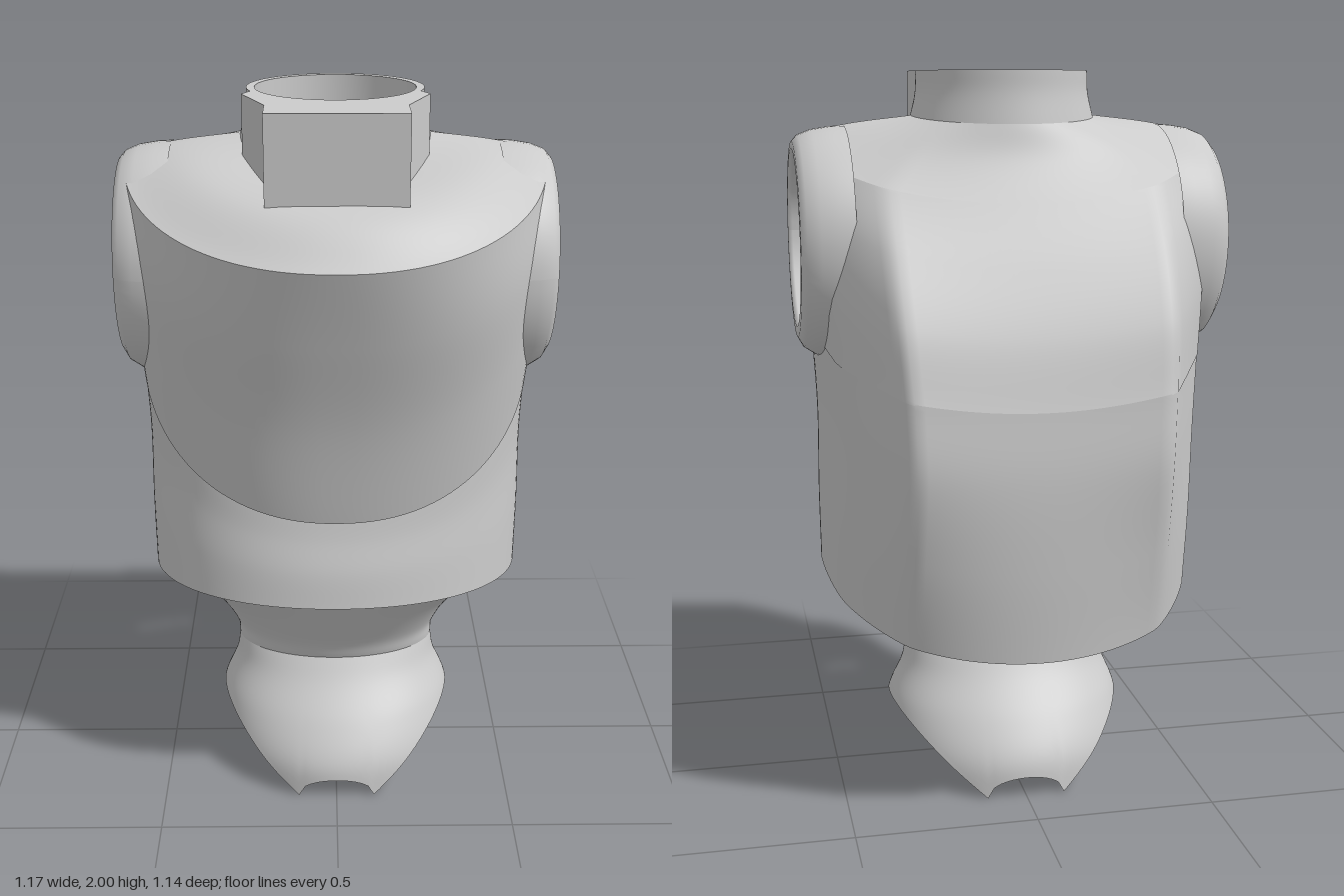
import * as THREE from 'three';

const material = new THREE.MeshStandardMaterial({ color: 0xcccccc, side: THREE.DoubleSide });
const SEG = 120;
const ARM = { y: 1.55, r: 0.265 };

// Builds a closed-round surface from point(row 0..1, angle), leaving out the arm openings
function roundSurface(name, rows, point) {
  const pos = [], idx = [], cut = [];
  for (let i = 0; i <= rows; i++) for (let j = 0; j < SEG; j++) {
    const p = point(i / rows, (j / SEG) * Math.PI * 2);
    const d = Math.hypot(p.z, p.y - ARM.y), inArm = Math.abs(p.x) > 0.3 && d < ARM.r;
    // Vertices inside an opening slide out to its rim
    if (inArm) {
      const k = ARM.r / Math.max(d, 1e-4);
      p.z *= k;
      p.y = ARM.y + (p.y - ARM.y) * k;
    }
    cut.push(inArm);
    pos.push(p.x, p.y, p.z);
  }
  const face = (a, b, c) => { if (!(cut[a] && cut[b] && cut[c])) idx.push(a, b, c); };
  for (let i = 0; i < rows; i++) for (let j = 0; j < SEG; j++) {
    const a = i * SEG + j, b = i * SEG + (j + 1) % SEG;
    face(a, b, a + SEG);
    face(b, b + SEG, a + SEG);
  }
  const g = new THREE.BufferGeometry();
  g.setAttribute('position', new THREE.Float32BufferAttribute(pos, 3));
  g.setIndex(idx);
  g.computeVertexNormals();
  return named(new THREE.Mesh(g, material), name);
}

function named(mesh, name) {
  mesh.name = name;
  return mesh;
}

// Flat back panel with slanted flanks, as x and z fractions from the spine to the side
const backPanel = new THREE.LinearInterpolant([0, 0.45, 0.75, 1], [0, 1, 0.64, 1, 0.92, 0.5, 1, 0], 2);

// Smooth loft. Ring: half width, z front, z back, y front, y side, y back,
// front squareness (2 = ellipse), back panel amount (0 = ellipse)
function loft(name, rings, rows) {
  const curve = new THREE.CubicInterpolant(rings.map((_, i) => i), rings.flat(), 8);
  return roundSurface(name, rows, (t, a) => {
    const [w, zf, zb, yf, ys, yb, nf, panel] = curve.evaluate(t * (rings.length - 1));
    const s = Math.sin(a), k = Math.abs(Math.cos(a)), front = Math.cos(a) > 0;
    const y = ys + ((front ? yf : yb) - ys) * k;
    if (front) return new THREE.Vector3(w * Math.sign(s) * Math.abs(s) ** (2 / nf), y, zf * k ** (2 / nf));
    const [px, pz] = backPanel.evaluate(Math.acos(Math.min(k, 1)) / (Math.PI / 2));
    return new THREE.Vector3(
      w * Math.sign(s) * THREE.MathUtils.lerp(Math.abs(s), px, panel), y,
      zb * THREE.MathUtils.lerp(k, pz, panel));
  });
}

// Pelvis: flared skirt cut by two slanted leg planes and a small round notch
function pelvis() {
  const widths = new THREE.CubicInterpolant([0, 0.1, 0.2, 0.3, 0.36],
    [0.356, 0.37, 0.356, 0.36, 0.34, 0.30, 0.30, 0.215, 0.29, 0.175], 2);
  const hem = x => Math.abs(x) > 0.1095 ? Math.max(0, Math.abs(x) - 0.11) * 0.87
    : 0.06 * Math.sqrt(1 - (x / 0.11) ** 2);
  return roundSurface('pelvis', 18, (t, a) => {
    let low = 0;
    for (let i = 0; i < 12; i++) low = hem(widths.evaluate(low)[0] * Math.sin(a));
    const y = low + (0.36 - low) * t;
    const [w, d] = widths.evaluate(y);
    return new THREE.Vector3(w * Math.sin(a), y, d * Math.cos(a));
  });
}

// Rounded collar around an arm opening, its outer edge drooping below
function armCollar(side) {
  const profile = [[0.235, 0.47], [0.235, 0.57], [0.243, 0.583], [0.262, 0.582], [0.28, 0.566],
    [0.294, 0.53], [0.302, 0.48], [0.304, 0.44]].map(p => new THREE.Vector2(...p));
  const g = new THREE.LatheGeometry(profile, 64);
  g.rotateZ(-side * Math.PI / 2);
  const p = g.attributes.position;
  for (let i = 0; i < p.count; i++) {
    const y = p.getY(i), r = Math.hypot(y, p.getZ(i));
    if (y < 0) p.setY(i, y * (1 + Math.max(0, r - 0.243) * 2));
  }
  g.computeVertexNormals();
  g.translate(0, ARM.y, 0);
  return named(new THREE.Mesh(g, material), side > 0 ? 'leftArmCollar' : 'rightArmCollar');
}

// Block in front of the neck, hollowed to follow the neck opening
function neckBlock() {
  const s = new THREE.Shape();
  s.moveTo(0.215, 0.06);
  s.lineTo(0.245, 0.12);
  s.lineTo(0.18, 0.29);
  s.lineTo(0.18, 0.41);
  s.lineTo(-0.18, 0.41);
  s.lineTo(-0.18, 0.29);
  s.lineTo(-0.245, 0.12);
  s.lineTo(-0.215, 0.06);
  s.absarc(0, 0, 0.223, Math.PI - 0.27, 0.27, true);
  const g = new THREE.ExtrudeGeometry(s, { depth: 0.23, bevelEnabled: false, curveSegments: 24 });
  g.rotateX(Math.PI / 2);
  g.translate(0, 2, 0);
  return named(new THREE.Mesh(g, material), 'neckBlock');
}

export function createModel() {
  const model = new THREE.Group();
  model.name = 'torsoArmour';

  // Rings shared by neighbouring parts
  const hemRing = [0.53, 0.40, -0.54, 0.645, 0.625, 0.47, 2.1, 0.3];
  const bellyTop = [0.54, 0.345, -0.56, 0.90, 1.31, 1.15, 2.2, 1];
  const plateRim = [0.542, 0.368, -0.56, 0.89, 1.30, 1.15, 2.2, 1];
  const chestEdge = [0.565, 0.57, -0.335, 1.645, 1.83, 1.66, 2.2, 0.5];
  const neckBase = [0.255, 0.25, -0.24, 1.80, 1.88, 1.86, 2, 0];
  const neckTop = [0.237, 0.225, -0.23, 2, 2, 2, 2, 0];
  const neckInner = [0.215, 0.215, -0.205, 2, 2, 2, 2, 0];

  model.add(
    pelvis(),
    loft('waist', [
      [0.29, 0.175, -0.175, 0.36, 0.36, 0.36, 2, 0],
      [0.30, 0.20, -0.23, 0.42, 0.42, 0.41, 2, 0],
      [0.365, 0.275, -0.34, 0.53, 0.52, 0.47, 2, 0],
      [0.50, 0.355, -0.47, 0.645, 0.635, 0.535, 2, 0.2],
    ], 18),
    loft('hemLip', [[0.495, 0.365, -0.50, 0.66, 0.645, 0.50, 2.1, 0.3], hemRing], 2),
    loft('belly', [
      hemRing,
      [0.532, 0.385, -0.562, 0.74, 0.84, 0.72, 2.1, 0.65],
      [0.53, 0.36, -0.572, 0.83, 1.08, 0.96, 2.15, 0.95],
      bellyTop,
    ], 40),
    loft('chestPlateLip', [bellyTop, plateRim], 2),
    loft('chestAndBack', [
      plateRim,
      [0.56, 0.425, -0.51, 1.18, 1.50, 1.33, 2.45, 1],
      [0.568, 0.50, -0.43, 1.43, 1.68, 1.50, 2.5, 0.85],
      chestEdge,
    ], 70),
    loft('shoulderTop', [
      chestEdge,
      [0.42, 0.45, -0.27, 1.76, 1.86, 1.77, 2.1, 0.2],
      neckBase,
    ], 20),
    loft('neck', [neckBase, [0.24, 0.225, -0.23, 1.93, 1.94, 1.94, 2, 0], neckTop], 10),
    loft('neckRim', [neckTop, neckInner], 1),
    loft('neckInside', [neckInner, [0.22, 0.22, -0.205, 1.78, 1.82, 1.82, 2, 0]], 4),
    neckBlock(),
    armCollar(1),
    armCollar(-1),
  );
  return model;
}
